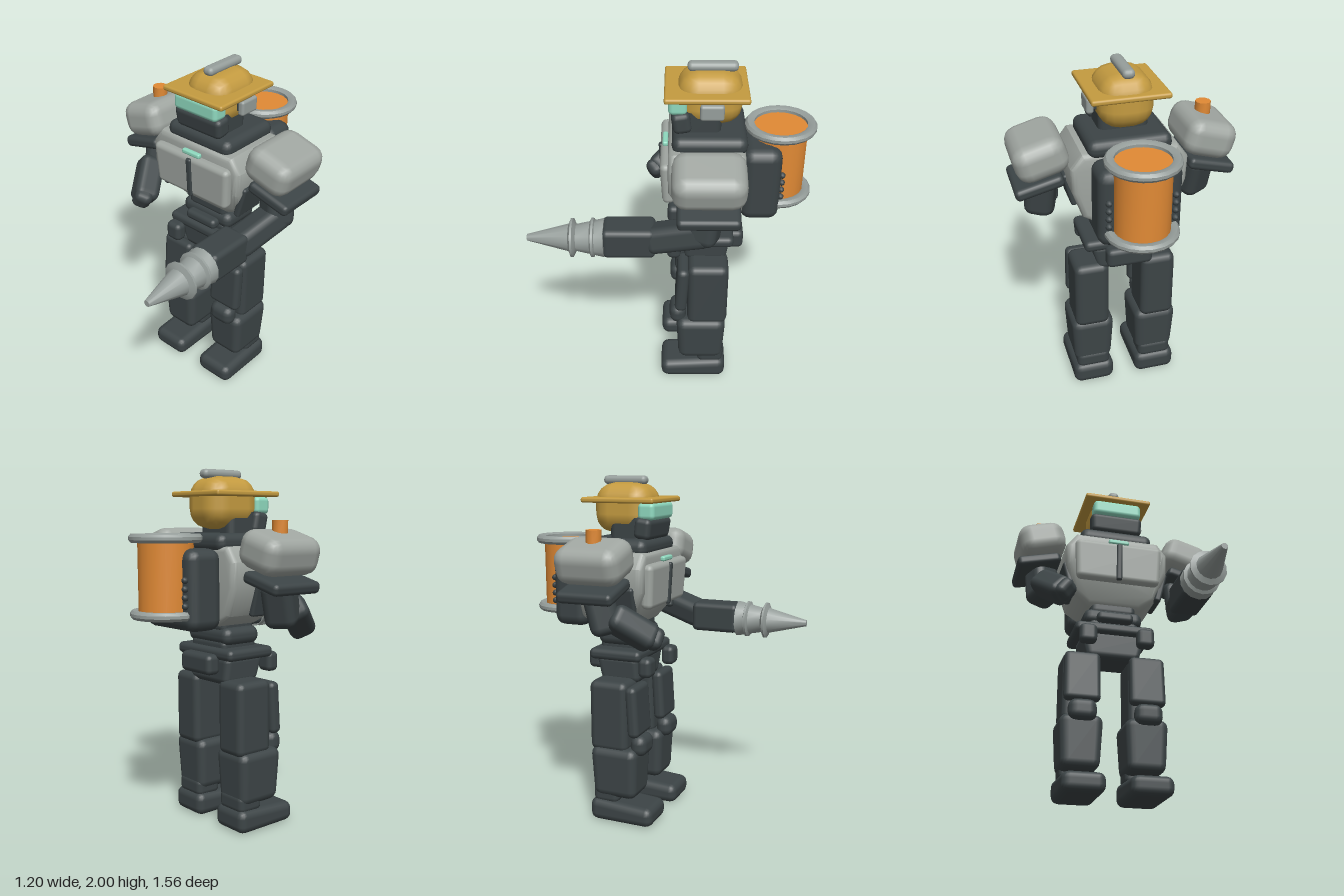
import * as THREE from 'three';
import { toCreasedNormals } from 'three/addons/utils/BufferGeometryUtils.js';
import { RoundedBoxGeometry } from 'three/addons/geometries/RoundedBoxGeometry.js';

const paint = (name, color) => {
  const m = new THREE.MeshStandardMaterial({ color });
  m.name = name;
  return m;
};

export function createModel() {
  const root = new THREE.Group();
  root.name = 'minerRobot';
  const dark = paint('dark steel', 0x3c4446);
  const grey = paint('armour grey', 0xa0a6a1);
  const silver = paint('bare metal', 0x969e9b);
  const gold = paint('helmet gold', 0xc49b40);
  const orange = paint('tank orange', 0xe18a35);
  const teal = paint('glass teal', 0x8fd9bf);

  const add = (name, geo, mat, pos = [0, 0, 0], rot = [0, 0, 0]) => {
    const mesh = new THREE.Mesh(geo, mat);
    mesh.name = name;
    mesh.position.set(...pos);
    mesh.rotation.set(...rot);
    root.add(mesh);
    return mesh;
  };

  // Rounded block; top and bottom are [x, z] scale factors for the two ends
  const block = (w, h, d, r = 0.03, top = [1, 1], bottom = [1, 1]) => {
    const g = new RoundedBoxGeometry(w, h, d, 2, r);
    const p = g.attributes.position;
    for (let i = 0; i < p.count; i++) {
      const t = p.getY(i) / h + 0.5;
      p.setX(i, p.getX(i) * THREE.MathUtils.lerp(bottom[0], top[0], t));
      p.setZ(i, p.getZ(i) * THREE.MathUtils.lerp(bottom[1], top[1], t));
    }
    return g;
  };

  // Block stretched between two points
  const limb = (name, a, b, w, d, r) => {
    const from = new THREE.Vector3(...a), to = new THREE.Vector3(...b);
    const dir = to.clone().sub(from);
    const mesh = add(name, block(w, dir.length(), d, r), dark);
    mesh.position.copy(from).add(to).multiplyScalar(0.5);
    mesh.quaternion.setFromUnitVectors(new THREE.Vector3(0, 1, 0), dir.normalize());
  };

  const lathe = (pts, sides) => toCreasedNormals(
    new THREE.LatheGeometry(pts.map(([r, y]) => new THREE.Vector2(r, y)), sides), 0.6);

  // Head and helmet
  add('helmetDome', block(0.29, 0.285, 0.345, 0.11, [1, 1], [1.02, 1.02]), gold, [0, 1.82, -0.2]);
  add('helmetBrim', block(0.415, 0.03, 0.44, 0.012), gold, [0, 1.868, -0.18]);
  add('helmetCrest', block(0.066, 0.05, 0.265, 0.024), silver, [0, 1.975, -0.212]);
  add('visor', block(0.3, 0.095, 0.1, 0.025), teal, [0, 1.807, -0.03]);
  add('jaw', block(0.33, 0.12, 0.1, 0.03, [1, 1], [0.94, 1]), dark, [0, 1.712, -0.05], [0.15, 0, 0]);
  add('face', block(0.27, 0.2, 0.2, 0.04), dark, [0, 1.71, -0.16]);
  add('earMount', block(0.05, 0.06, 0.09, 0.01), dark, [0.165, 1.8, -0.207]);
  add('earPiece', block(0.04, 0.085, 0.125, 0.015), silver, [0.182, 1.8, -0.207]);
  add('neckCollar', block(0.45, 0.1, 0.4, 0.045), dark, [0, 1.608, -0.2]);

  // Chest, narrowing to the waist with the belly set back
  const outline = new THREE.Shape([
    [-0.15, 1.19], [0.15, 1.19], [0.23, 1.24], [0.28, 1.38],
    [0.285, 1.5], [0.24, 1.56], [-0.24, 1.56], [-0.285, 1.5], [-0.28, 1.38], [-0.23, 1.24],
  ].map(([x, y]) => new THREE.Vector2(x, y)));
  const chest = new THREE.ExtrudeGeometry(outline, {
    depth: 0.34, bevelEnabled: true, bevelThickness: 0.035, bevelSize: 0.03, bevelSegments: 3,
  });
  const cp = chest.attributes.position;
  for (let i = 0; i < cp.count; i++) {
    const low = Math.max(0, 1.38 - cp.getY(i));
    cp.setZ(i, cp.getZ(i) * (1 - low * 1.3));
  }
  add('chest', toCreasedNormals(chest, 0.7), grey, [0, 0, -0.355]);
  add('chestPlate', block(0.54, 0.25, 0.07, 0.03, [1, 1], [0.94, 1]), grey, [0, 1.405, 0.022], [0.06, 0, 0]);
  add('chestDivider', block(0.036, 0.24, 0.03, 0.012), dark, [0, 1.4, 0.052], [0.06, 0, 0]);
  add('chestLight', block(0.125, 0.028, 0.03, 0.01), teal, [0, 1.543, 0.036]);

  // Waist and hips
  add('upperWaist', block(0.28, 0.09, 0.23, 0.035), dark, [0, 1.155, -0.2]);
  add('lowerWaist', block(0.36, 0.1, 0.25, 0.045), dark, [0, 1.095, -0.2]);
  add('waistBase', block(0.3, 0.07, 0.24, 0.03), dark, [0, 1.04, -0.2]);
  add('bellyPlate', block(0.22, 0.06, 0.07, 0.025), dark, [0, 1.075, -0.06]);
  add('belt', block(0.48, 0.065, 0.32, 0.028), dark, [0, 1.0, -0.19]);
  add('pelvis', block(0.4, 0.17, 0.27, 0.04, [1, 1], [0.75, 0.9]), dark, [0, 0.905, -0.195]);
  add('rearBeltPouch', block(0.26, 0.115, 0.09, 0.03), dark, [0, 0.943, -0.367]);

  // Mirrored shoulders, hips and legs
  for (const s of [-1, 1]) {
    const side = s > 0 ? 'left' : 'right';
    add(side + 'SideVent', block(0.04, 0.2, 0.2, 0.015), dark, [s * 0.287, 1.31, -0.13], [0, 0, -s * 0.25]);
    add(side + 'Shoulder', block(0.285, 0.205, 0.38, 0.075), grey, [s * 0.455, 1.563, -0.19], [0, 0, -s * 0.28]);
    add(side + 'ShoulderGuard', block(0.265, 0.065, 0.325, 0.025), dark, [s * 0.47, 1.408, -0.19], [0, 0, -s * 0.25]);
    add(side + 'BeltPouch', block(0.105, 0.115, 0.08, 0.03), dark, [s * 0.172, 0.935, -0.012]);
    add(side + 'Thigh', block(0.2, 0.42, 0.235, 0.04), dark, [s * 0.195, 0.645, -0.21]);
    add(side + 'ThighPlate', block(0.215, 0.3, 0.07, 0.03, [0.98, 1], [1, 1]), dark, [s * 0.192, 0.685, -0.06], [-0.06, 0, 0]);
    add(side + 'Knee', block(0.165, 0.125, 0.1, 0.048), dark, [s * 0.192, 0.477, -0.037]);
    add(side + 'Shin', block(0.255, 0.31, 0.295, 0.05, [1, 1], [0.86, 0.9]), dark, [s * 0.19, 0.307, -0.175]);
    add(side + 'Ankle', block(0.2, 0.11, 0.16, 0.035), dark, [s * 0.19, 0.165, -0.235]);
    const foot = block(0.245, 0.135, 0.395, 0.045);
    const fp = foot.attributes.position;
    for (let i = 0; i < fp.count; i++) {
      if (fp.getZ(i) > 0.1 && fp.getY(i) > 0) fp.setY(i, fp.getY(i) - 0.02);
    }
    add(side + 'Foot', foot, dark, [s * 0.19, 0.0675, -0.132]);
  }
  add('shoulderLamp', toCreasedNormals(new THREE.CylinderGeometry(0.042, 0.042, 0.09, 10), 0.7),
    orange, [-0.455, 1.683, -0.19]);

  // Right arm with a plain fist
  limb('rightUpperArm', [-0.44, 1.42, -0.19], [-0.425, 1.17, -0.13], 0.175, 0.17, 0.05);
  limb('rightForearm', [-0.455, 1.28, -0.1], [-0.33, 1.13, 0.1], 0.15, 0.15, 0.045);
  limb('rightFist', [-0.37, 1.18, 0.04], [-0.315, 1.125, 0.14], 0.11, 0.125, 0.04);

  // Left arm with the drill
  limb('leftUpperArm', [0.43, 1.42, -0.19], [0.45, 1.18, -0.16], 0.17, 0.16, 0.05);
  limb('leftElbow', [0.45, 1.25, -0.21], [0.385, 1.15, 0.13], 0.16, 0.15, 0.045);
  add('leftForearm', block(0.175, 0.175, 0.285, 0.03), dark, [0.378, 1.155, 0.227]);
  const drill = lathe([
    [0, 0.36], [0.107, 0.36], [0.096, 0.41], [0.108, 0.415], [0.108, 0.427], [0.09, 0.436],
    [0.074, 0.51], [0.107, 0.526], [0.107, 0.537], [0.076, 0.55], [0.018, 0.775], [0, 0.775],
  ], 14);
  add('drill', drill.rotateX(Math.PI / 2), silver, [0.378, 1.15, 0]);

  // Backpack and fuel tank
  add('backpack', block(0.445, 0.435, 0.215, 0.06), dark, [0, 1.363, -0.482]);
  add('tank', toCreasedNormals(new THREE.CylinderGeometry(0.148, 0.148, 0.4, 20), 0.7), orange, [0, 1.432, -0.588]);
  const rim = lathe([
    [0.145, -0.015], [0.16, -0.023], [0.183, -0.023], [0.195, -0.008], [0.195, 0.008],
    [0.183, 0.023], [0.16, 0.023], [0.145, 0.015], [0.145, -0.015],
  ], 20);
  add('tankTopRim', rim, silver, [0, 1.633, -0.588]);
  add('tankBottomRim', rim, silver, [0, 1.233, -0.588]);
  const bolt = new THREE.SphereGeometry(0.018, 8, 6);
  for (const s of [-1, 1]) {
    for (let i = 0; i < 4; i++) add('packBolt', bolt, dark, [s * 0.175, 1.285 + i * 0.045, -0.594]);
  }
  return root;
}
